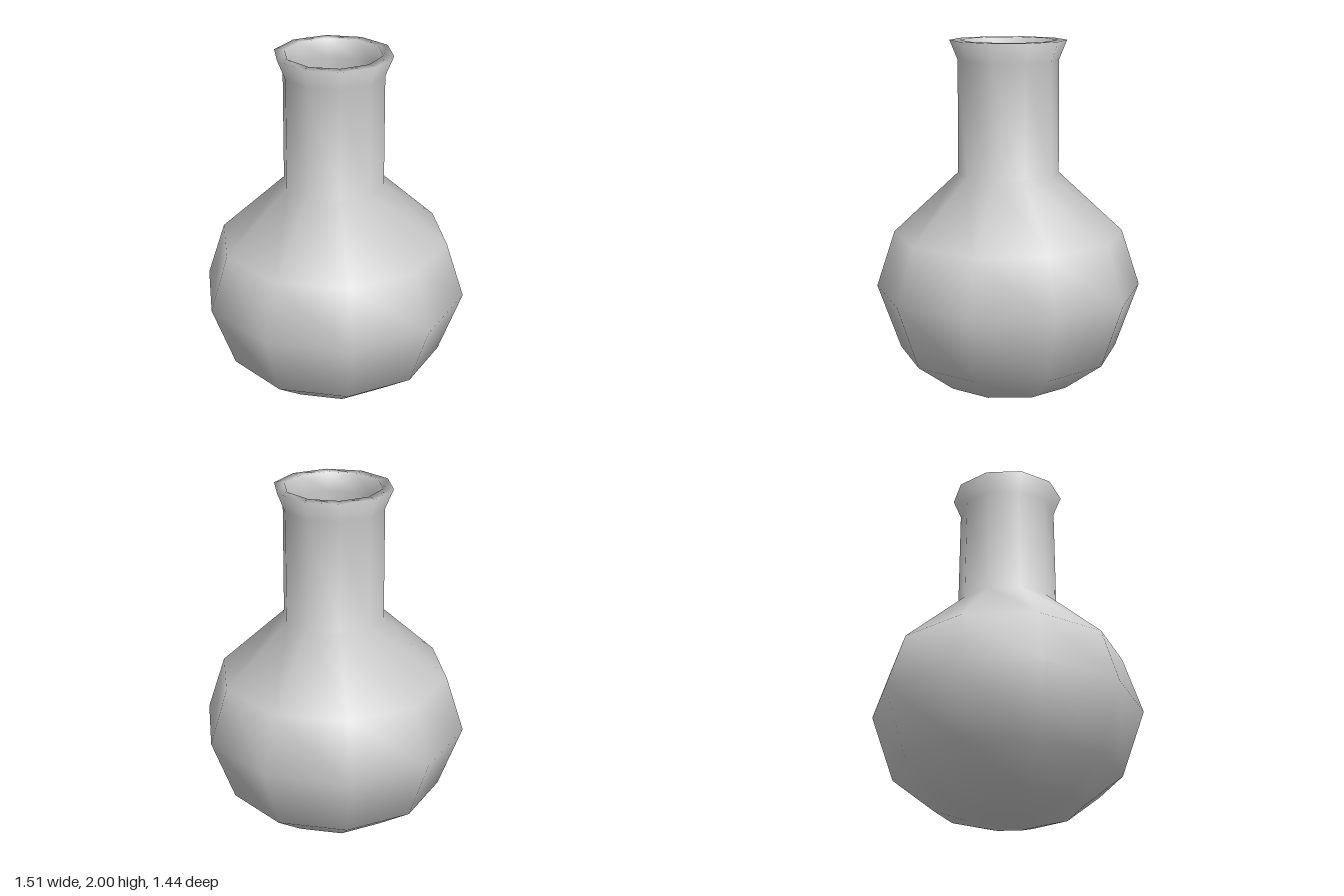
import * as THREE from 'three';

const SIDES = 10;
const material = new THREE.MeshStandardMaterial({ color: 0xcccccc });

// Revolves a profile with one corner pointing along +x
function turned(name, profile) {
  const points = profile.map(([r, y]) => new THREE.Vector2(r, y));
  const mesh = new THREE.Mesh(new THREE.LatheGeometry(points, SIDES, Math.PI / 2), material);
  mesh.name = name;
  return mesh;
}

export function createModel() {
  const model = new THREE.Group();
  model.name = 'flask';

  // Round body, straight neck, flared lip, then back down the inner wall
  model.add(turned('flaskShell', [
    // outside
    [0, 0], [0.22, 0], [0.395, 0.055], [0.625, 0.23], [0.755, 0.6],
    [0.65, 0.92], [0.285, 1.26], [0.28, 1.89], [0.325, 2],
    // inside
    [0.267, 2], [0.262, 1.89], [0.265, 1.25], [0.625, 0.91],
    [0.725, 0.6], [0.6, 0.25], [0.38, 0.085], [0.21, 0.03], [0, 0.03],
  ]));

  return model;
}
